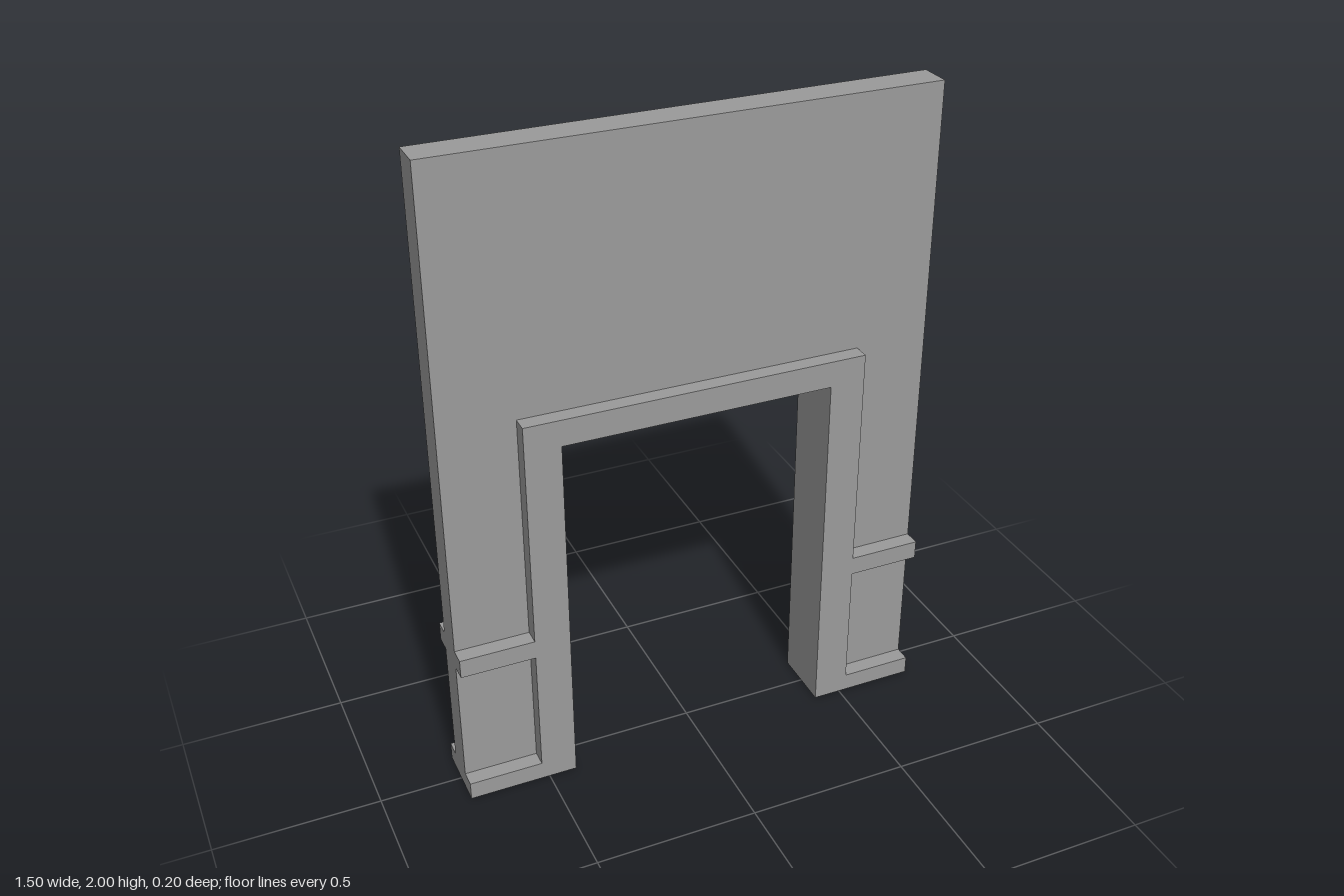
import * as THREE from 'three';

const W = 0.749;          // half width of the wall
const OPEN = 0.414;       // half width of the doorway
const OPEN_TOP = 1.146;
const TRIM = 0.523;       // outer half width of the door frame
const TRIM_TOP = 1.228;
const CORE = 0.05;        // half depth of the wall
const FACE = 0.1;         // half depth including trim

// Outline symmetric about x = 0, given by its right half
function mirroredShape(half) {
  const left = half.map(([x, y]) => [-x, y]).reverse();
  return new THREE.Shape([...half, ...left].map(([x, y]) => new THREE.Vector2(x, y)));
}

function slab(name, shape, z0, z1, material) {
  const geometry = new THREE.ExtrudeGeometry(shape, { depth: z1 - z0, bevelEnabled: false });
  geometry.translate(0, 0, z0);
  const mesh = new THREE.Mesh(geometry, material);
  mesh.name = name;
  return mesh;
}

export function createModel() {
  const group = new THREE.Group();
  group.name = 'doorwayWall';
  const material = new THREE.MeshStandardMaterial({ color: 0x9b9b9b, flatShading: true });

  // Wall panel with a doorway open to the floor
  const wall = mirroredShape([[OPEN, OPEN_TOP], [OPEN, 0], [W, 0], [W, 2]]);
  group.add(slab('wall', wall, -CORE, CORE, material));

  // Raised door frame joined to the skirting and the chair rail
  const trim = mirroredShape([
    [OPEN, OPEN_TOP], [OPEN, 0], [W, 0], [W, 0.057], [TRIM, 0.057],
    [TRIM, 0.458], [W, 0.458], [W, 0.517], [TRIM, 0.517], [TRIM, TRIM_TOP],
  ]);
  group.add(slab('frontTrim', trim, CORE, FACE, material));
  group.add(slab('backTrim', trim, -FACE, -CORE, material));

  return group;
}
